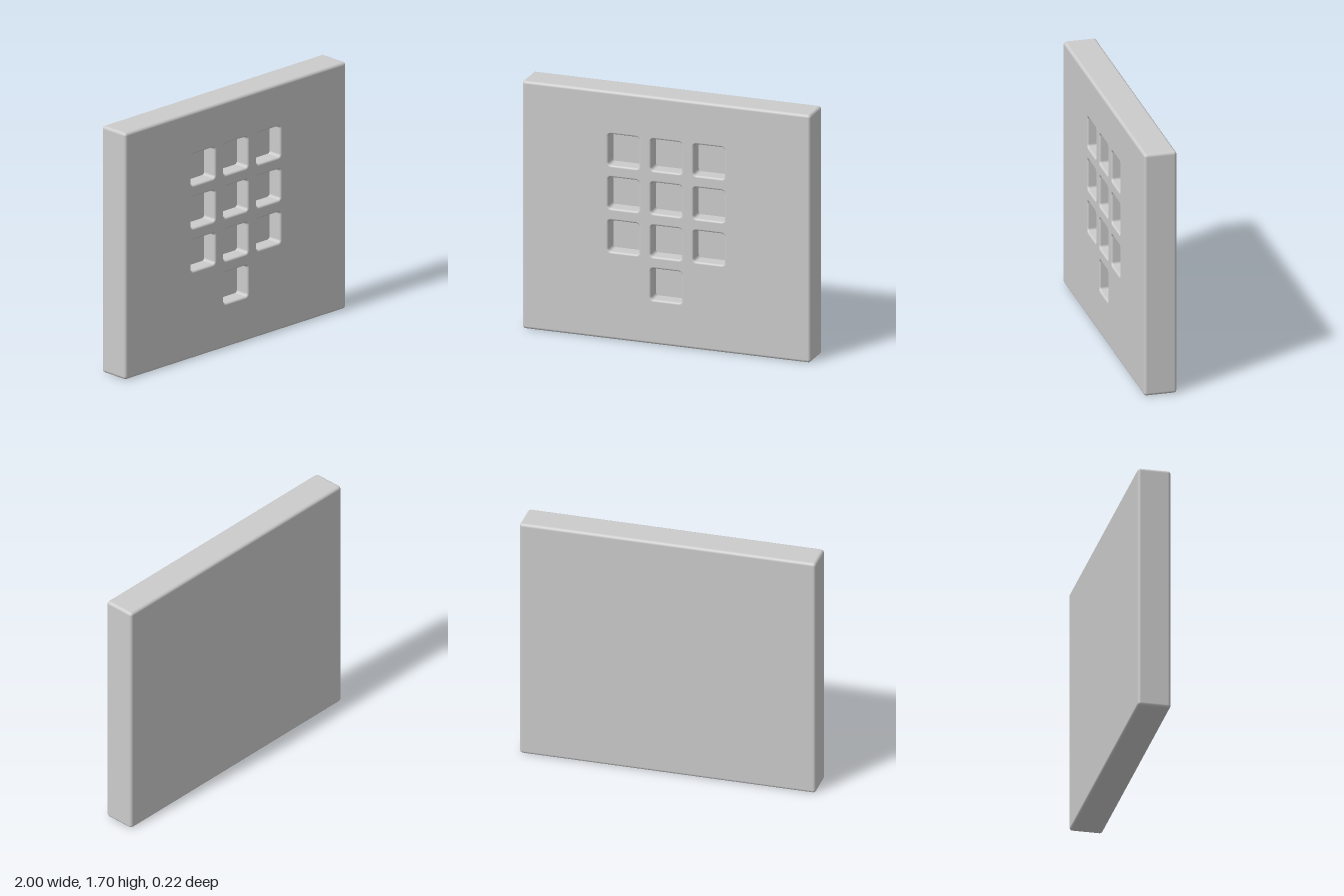
import * as THREE from 'three';

const W = 1, H = 0.85, D = 0.11;        // slab half sizes
const EDGE = 0.02;                      // slab edge rounding
const CELL = 0.107, LIP = 0.014;        // pocket half size and lip rounding
const FLOOR = 0.01;                     // z of the pocket floors
const PITCH = 0.296;                    // pocket spacing
const CORNER_STEPS = 6, ARC_STEPS = 6;

// Rounded rectangle outline, counter-clockwise, with its outward normals
function outline(w, h, r, inset = 0) {
  const pts = [];
  [[1, 1], [-1, 1], [-1, -1], [1, -1]].forEach(([sx, sy], q) => {
    for (let i = 0; i <= CORNER_STEPS; i++) {
      const a = (q + i / CORNER_STEPS) * Math.PI / 2;
      const nx = Math.cos(a), ny = Math.sin(a);
      pts.push({ x: sx * (w - r) + (r - inset) * nx, y: sy * (h - r) + (r - inset) * ny, nx, ny });
    }
  });
  return pts;
}

const toVectors = (pts, cx = 0, cy = 0) => pts.map(p => new THREE.Vector2(p.x + cx, p.y + cy));

// Wall swept round an outline; profile rows are { inset, z, out, nz }, back to front
function wall(w, h, r, profile, inward = false) {
  const pos = [], nor = [], idx = [];
  const n = 4 * (CORNER_STEPS + 1);
  profile.forEach((row, k) => {
    outline(w, h, r, row.inset).forEach((p, j) => {
      pos.push(p.x, p.y, row.z);
      nor.push(p.nx * row.out, p.ny * row.out, row.nz);
      if (k === profile.length - 1) return;
      const a = k * n + j, b = k * n + (j + 1) % n, c = b + n, d = a + n;
      if (inward) idx.push(a, c, b, a, d, c);
      else idx.push(a, b, c, a, c, d);
    });
  });
  const geo = new THREE.BufferGeometry();
  geo.setAttribute('position', new THREE.Float32BufferAttribute(pos, 3));
  geo.setAttribute('normal', new THREE.Float32BufferAttribute(nor, 3));
  geo.setIndex(idx);
  return geo;
}

// Quarter-round rows from angle f0 to f1
function arc(f0, f1, row) {
  return Array.from({ length: ARC_STEPS + 1 }, (_, i) => {
    const f = f0 + (f1 - f0) * i / ARC_STEPS;
    return row(Math.cos(f), Math.sin(f));
  });
}

export function createModel() {
  const model = new THREE.Group();
  model.name = 'keypadPanel';
  const material = new THREE.MeshStandardMaterial({ color: 0xcccccc });
  const add = (parent, name, geo) => {
    const mesh = new THREE.Mesh(geo, material);
    mesh.name = name;
    parent.add(mesh);
    return mesh;
  };
  const panel = new THREE.Group();
  panel.name = 'panel';
  panel.position.y = H;
  model.add(panel);

  // Three rows of three pockets, and one centred below
  const cells = [];
  for (let row = 0; row < 3; row++)
    for (let col = -1; col <= 1; col++) cells.push([col * PITCH, 0.45 - row * PITCH]);
  cells.push([0, 0.45 - 3 * PITCH]);

  // Rounded rim of the slab
  const R = EDGE + 0.001, q = Math.PI / 2;
  const rimRow = side => (c, s) => ({ inset: EDGE * (1 - c), z: side * (D - EDGE) + EDGE * s, out: c, nz: s });
  add(panel, 'rim', wall(W, H, R, [...arc(-q, 0, rimRow(-1)), ...arc(0, q, rimRow(1))]));

  // Back and front faces, the front one pierced by the pockets
  const face = toVectors(outline(W, H, R, EDGE));
  const back = add(panel, 'backFace', new THREE.ShapeGeometry(new THREE.Shape(face)));
  back.rotation.y = Math.PI;
  back.position.z = -D;
  const frontShape = new THREE.Shape(face);
  cells.forEach(([x, y]) =>
    frontShape.holes.push(new THREE.Path(toVectors(outline(CELL, CELL, EDGE, -LIP), x, y))));
  add(panel, 'frontFace', new THREE.ShapeGeometry(frontShape)).position.z = D;

  // Pockets: straight walls with a rounded lip, and a flat floor
  const pocketWall = wall(CELL, CELL, EDGE, [
    { inset: 0, z: FLOOR, out: -1, nz: 0 },
    ...arc(0, q, (c, s) => ({ inset: -LIP * (1 - c), z: D - LIP + LIP * s, out: -c, nz: s })),
  ], true);
  const pocketFloor = new THREE.ShapeGeometry(new THREE.Shape(toVectors(outline(CELL, CELL, EDGE))));
  cells.forEach(([x, y], i) => {
    const pocket = new THREE.Group();
    pocket.name = `keyPocket${i + 1}`;
    pocket.position.set(x, y, 0);
    add(pocket, 'pocketWall', pocketWall);
    add(pocket, 'pocketFloor', pocketFloor).position.z = FLOOR;
    panel.add(pocket);
  });
  return model;
}
